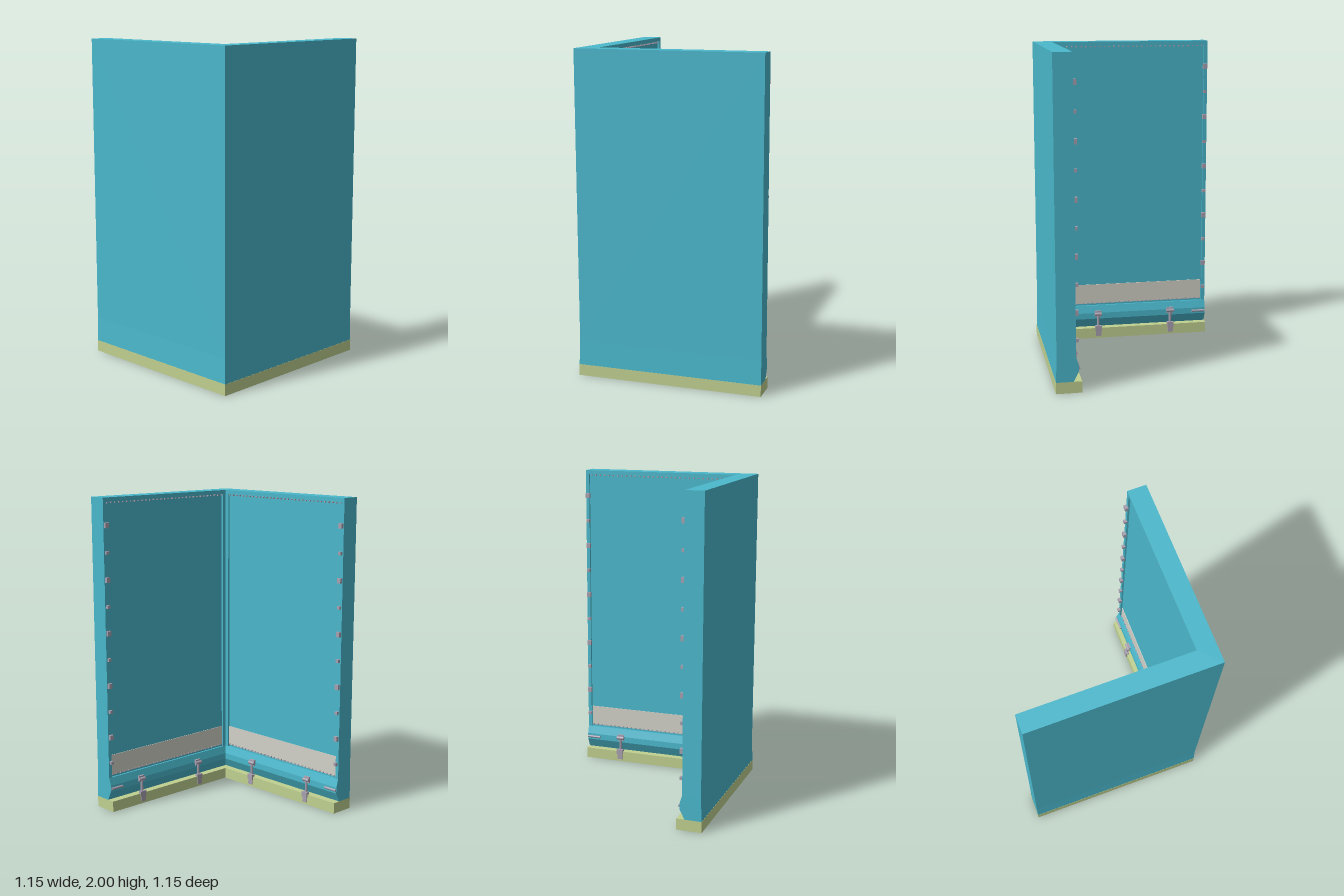
import * as THREE from 'three';
import { mergeGeometries } from 'three/addons/utils/BufferGeometryUtils.js';

const END = -0.578; // free end of each wing
const teal = new THREE.MeshStandardMaterial({ color: 0x4ab8cc });
const green = new THREE.MeshStandardMaterial({ color: 0xc0d090 });
const beige = new THREE.MeshStandardMaterial({ color: 0xd2d2c8 });
const metal = new THREE.MeshStandardMaterial({ color: 0xa8a0b0 });

// Mirror a geometry across the diagonal plane x = z, keeping faces outward
function swapXZ(source) {
  const g = source.index ? source.toNonIndexed() : source.clone();
  for (const key of ['position', 'normal']) {
    const a = g.attributes[key];
    for (let i = 0; i < a.count; i += 3) {
      const v = [0, 2, 1].map((k) => new THREE.Vector3().fromBufferAttribute(a, i + k));
      v.forEach((p, k) => a.setXYZ(i + k, p.z, p.y, p.x));
    }
  }
  return g;
}

// Run a (z, y) profile along x from x0 to the mitred corner
function mitred(profile, x0 = END) {
  const shape = new THREE.Shape(profile.map(([z, y]) => new THREE.Vector2(z, y)));
  let g = new THREE.ExtrudeGeometry(shape, { depth: 1, bevelEnabled: false });
  const p = g.attributes.position;
  for (let i = 0; i < p.count; i++) p.setZ(i, p.getZ(i) < 0.5 ? x0 : p.getX(i));
  g = swapXZ(g);
  g.computeVertexNormals();
  return g;
}

function box(x0, x1, y0, y1, z0, z1) {
  return new THREE.BoxGeometry(x1 - x0, y1 - y0, z1 - z0)
    .translate((x0 + x1) / 2, (y0 + y1) / 2, (z0 + z1) / 2);
}

const rect = (z0, z1, y0, y1) => [[z0, y0], [z1, y0], [z1, y1], [z0, y1]];

// Toggle latch joining the lower rail to the base
function latch(x) {
  const rod = new THREE.CylinderGeometry(0.009, 0.009, 0.12, 10).translate(x, 0.11, 0.43);
  const pin = new THREE.CylinderGeometry(0.011, 0.011, 0.05, 10)
    .rotateZ(Math.PI / 2).translate(x, 0.165, 0.428);
  return mergeGeometries([
    box(x - 0.022, x + 0.022, 0.145, 0.185, 0.43, 0.46), // upper catch
    box(x - 0.018, x + 0.018, 0.015, 0.075, 0.414, 0.43), // lower body
    box(x - 0.022, x + 0.022, 0.05, 0.085, 0.412, 0.435), // lever hinge
    rod, pin,
  ]);
}

export function createModel() {
  const model = new THREE.Group();
  model.name = 'cornerWall';
  const wings = ['front', 'side'].map((n) => {
    const g = new THREE.Group();
    g.name = n + 'Wing';
    model.add(g);
    return g;
  });
  const add = (name, geometry, material) => {
    [geometry, swapXZ(geometry)].forEach((g, i) => {
      const mesh = new THREE.Mesh(g, material);
      mesh.name = name;
      wings[i].add(mesh);
    });
  };

  // Base, lower rail and wall panel
  add('base', mitred(rect(0.42, 0.577, 0, 0.07)), green);
  add('lowerRail', mitred([
    [0.576, 0.07], [0.571, 0.22], [0.455, 0.22], [0.44, 0.17], [0.44, 0.13], [0.47, 0.07],
  ]), teal);
  add('wallPanel', mitred(rect(0.468, 0.571, 0.22, 2)), teal);

  // Raised lip around the inner face
  add('topLip', mitred(rect(0.455, 0.468, 1.975, 2)), teal);
  add('cornerLip', mitred(rect(0.455, 0.468, 0.22, 1.975), 0.43), teal);
  add('endLip', box(END, -0.555, 0.22, 1.975, 0.455, 0.468), teal);
  add('kickStrip', box(-0.55, 0.43, 0.232, 0.365, 0.464, 0.469), beige);

  // Latches along the foot of each wing
  for (const x of [-0.33, 0.17]) add('latch', latch(x), metal);

  // Clips up the free end, alternating large and small
  const clips = [];
  for (let i = 0; i < 10; i++) {
    const y = 0.32 + i * 0.168;
    const s = i % 2 ? 0.016 : 0.01;
    clips.push(box(-0.566 - s / 2, -0.556 + s / 2, y - s, y + s, 0.437, 0.458));
  }
  add('endClips', mergeGeometries(clips), metal);

  // Rows of small studs along the top and bottom of the panel
  const studs = [];
  for (let i = 0; i < 32; i++) {
    const x = -0.54 + i * 0.031;
    for (const y of [0.236, 1.968]) {
      studs.push(box(x - 0.004, x + 0.004, y - 0.004, y + 0.004, 0.457, 0.468));
    }
  }
  add('panelStuds', mergeGeometries(studs), metal);

  // Sliding bolt at the free end of the rail
  const bolt = new THREE.CylinderGeometry(0.008, 0.008, 0.09, 10)
    .rotateZ(Math.PI / 2).translate(-0.53, 0.15, 0.437);
  add('endBolt', bolt, metal);
  return model;
}
